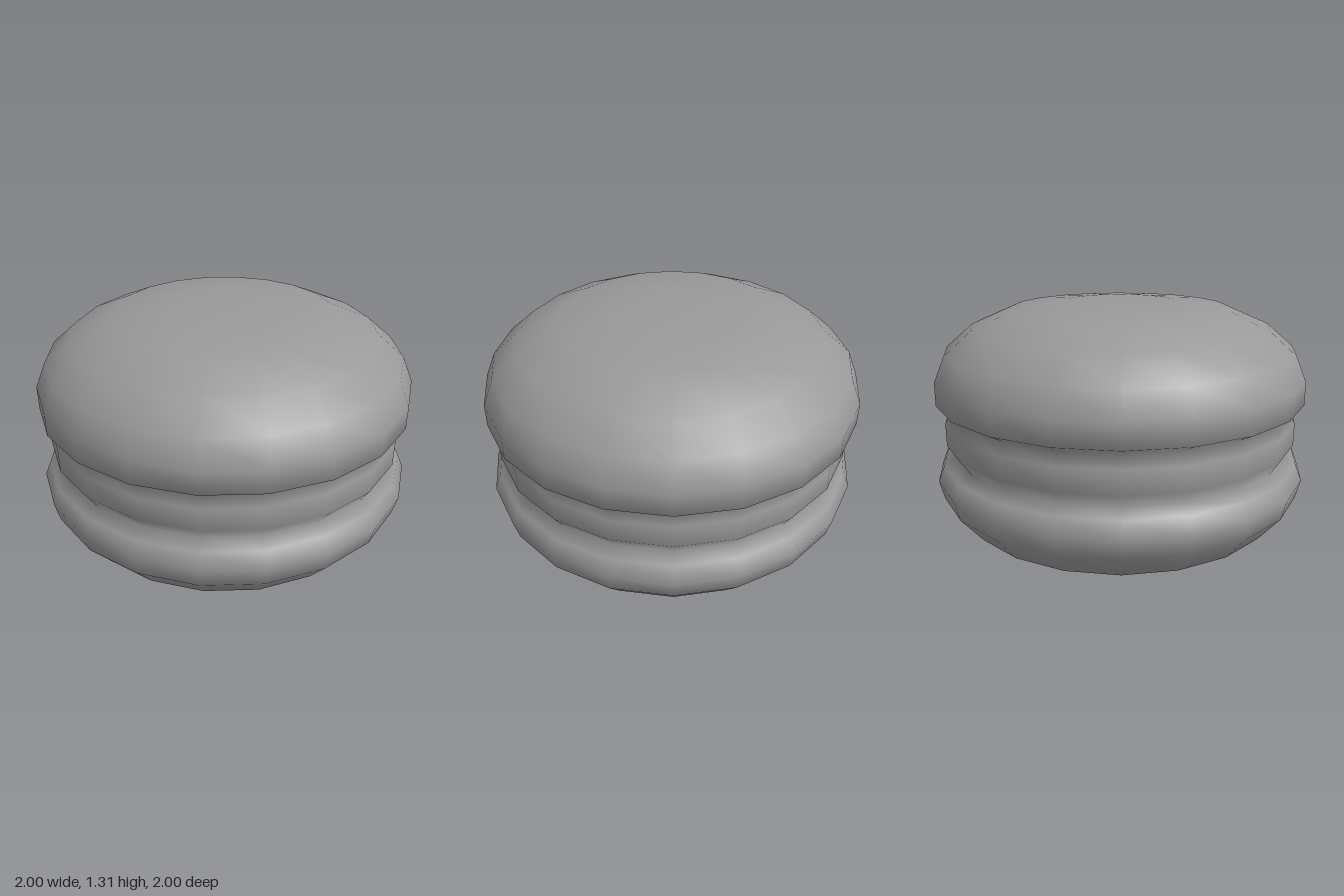
import * as THREE from 'three';

const SIDES = 20;

// Outline from the bottom centre to the top centre: [radius, height]
const PROFILE = [
  [0, 0], [0.29, 0], [0.605, 0.04], [0.86, 0.17], [0.975, 0.31], [1, 0.41], [0.965, 0.495],
  [0.9, 0.53], [0.945, 0.6], [0.945, 0.72],
  [0.91, 0.78], [0.985, 0.82], [0.985, 0.94], [0.93, 1.07], [0.79, 1.19], [0.57, 1.285], [0.29, 1.31], [0, 1.31],
];

// Each part spans the profile rows from one groove to the next
const PARTS = [
  ['bottomShell', 0, 7],
  ['filling', 7, 10],
  ['topShell', 10, PROFILE.length - 1],
];

export function createModel() {
  const group = new THREE.Group();
  group.name = 'macaron';
  const material = new THREE.MeshStandardMaterial({ color: 0x999999 });
  const points = PROFILE.map(([r, y]) => new THREE.Vector2(r, y));

  for (const [name, first, last] of PARTS) {
    // Keep only this part's rows, so normals stay smooth across the grooves
    const geometry = new THREE.LatheGeometry(points, SIDES);
    const n = points.length;
    const index = [];
    for (let i = 0; i < SIDES; i++) {
      for (let j = first; j < last; j++) {
        const a = i * n + j, b = a + n;
        if (j > 0) index.push(a, b, a + 1);
        if (j < n - 2) index.push(b + 1, a + 1, b);
      }
    }
    geometry.setIndex(index);
    const mesh = new THREE.Mesh(geometry, material);
    mesh.name = name;
    group.add(mesh);
  }
  return group;
}
